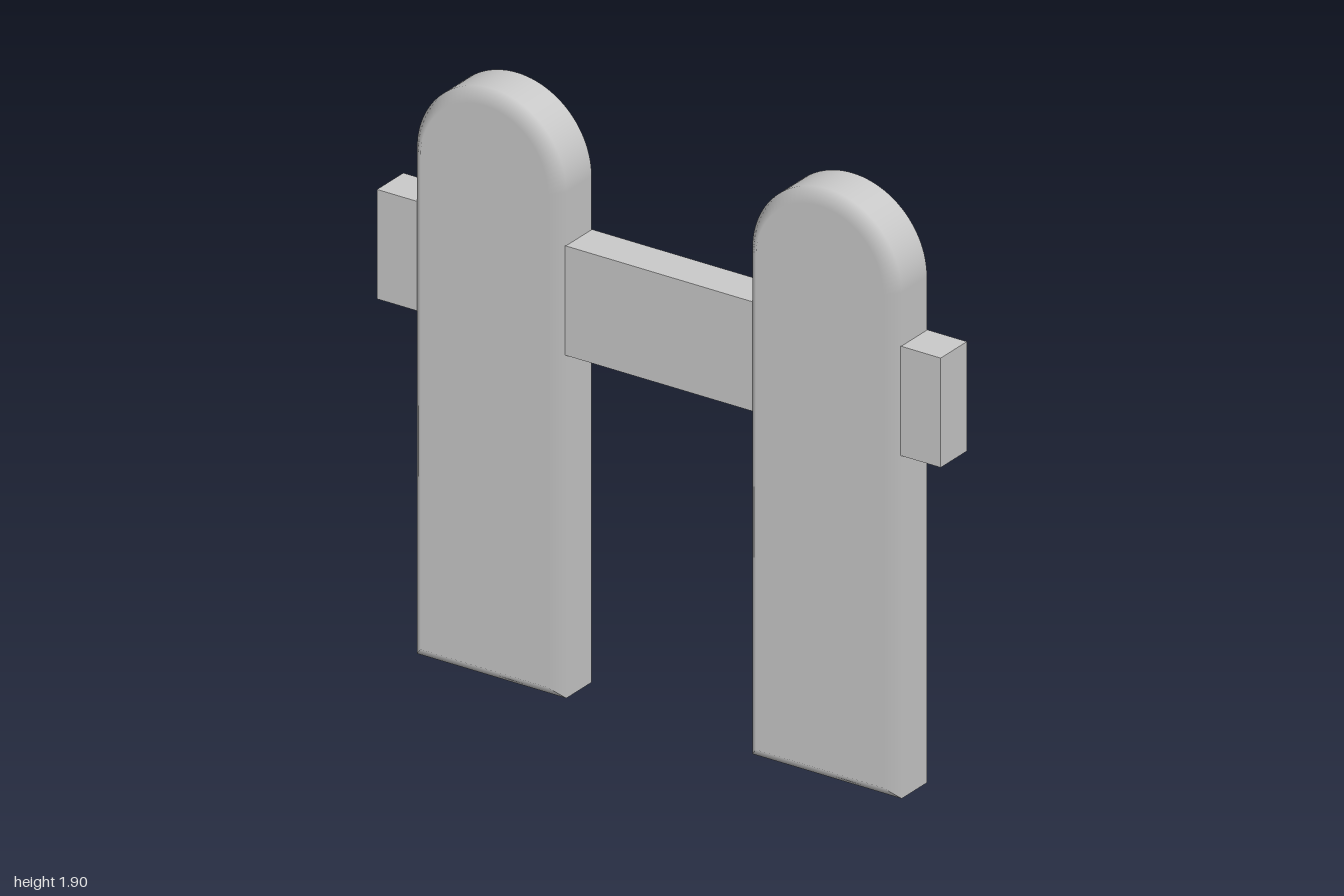
import * as THREE from 'three';

const HALF_W = 0.265, SPRING = 1.64, HALF_D = 0.105, BEVEL = 0.04;

// Round-topped board with a chamfer on both faces, shaded softly across the chamfer
function picketGeometry() {
  const shape = new THREE.Shape();
  shape.moveTo(-HALF_W, 0);
  shape.lineTo(HALF_W, 0);
  shape.absarc(0, SPRING, HALF_W, 0, Math.PI, false);
  const geo = new THREE.ExtrudeGeometry(shape, {
    depth: 2 * (HALF_D - BEVEL), curveSegments: 24,
    bevelEnabled: true, bevelSegments: 1,
    bevelThickness: BEVEL, bevelSize: BEVEL, bevelOffset: -BEVEL,
  });
  geo.translate(0, 0, BEVEL - HALF_D);

  // Flat faces keep their own normal; the rim follows the outline
  const pos = geo.attributes.position, nor = geo.attributes.normal;
  for (let i = 0; i < pos.count; i++) {
    const x = pos.getX(i), y = pos.getY(i), z = pos.getZ(i);
    const n = new THREE.Vector3();
    if (Math.abs(z) > HALF_D - 0.001) n.set(0, 0, Math.sign(z));
    else if (nor.getY(i) < -0.5) n.set(0, -1, 0);
    else if (y >= SPRING) n.set(x, y - SPRING, 0).normalize();
    else n.set(Math.sign(x), 0, 0);
    nor.setXYZ(i, n.x, n.y, n.z);
  }
  return geo;
}

export function createModel() {
  const group = new THREE.Group();
  const material = new THREE.MeshStandardMaterial({ color: 0xcccccc });

  // Upright boards, one on each side
  const board = picketGeometry();
  for (const side of [-1, 1]) {
    const picket = new THREE.Mesh(board, material);
    picket.name = side > 0 ? 'leftPicket' : 'rightPicket';
    picket.position.x = side * 0.595;
    group.add(picket);
  }

  // Cross rail passing through both boards
  const rail = new THREE.Mesh(new THREE.BoxGeometry(2, 0.355, 0.135), material);
  rail.name = 'rail';
  rail.position.y = 1.29;
  group.add(rail);

  return group;
}
